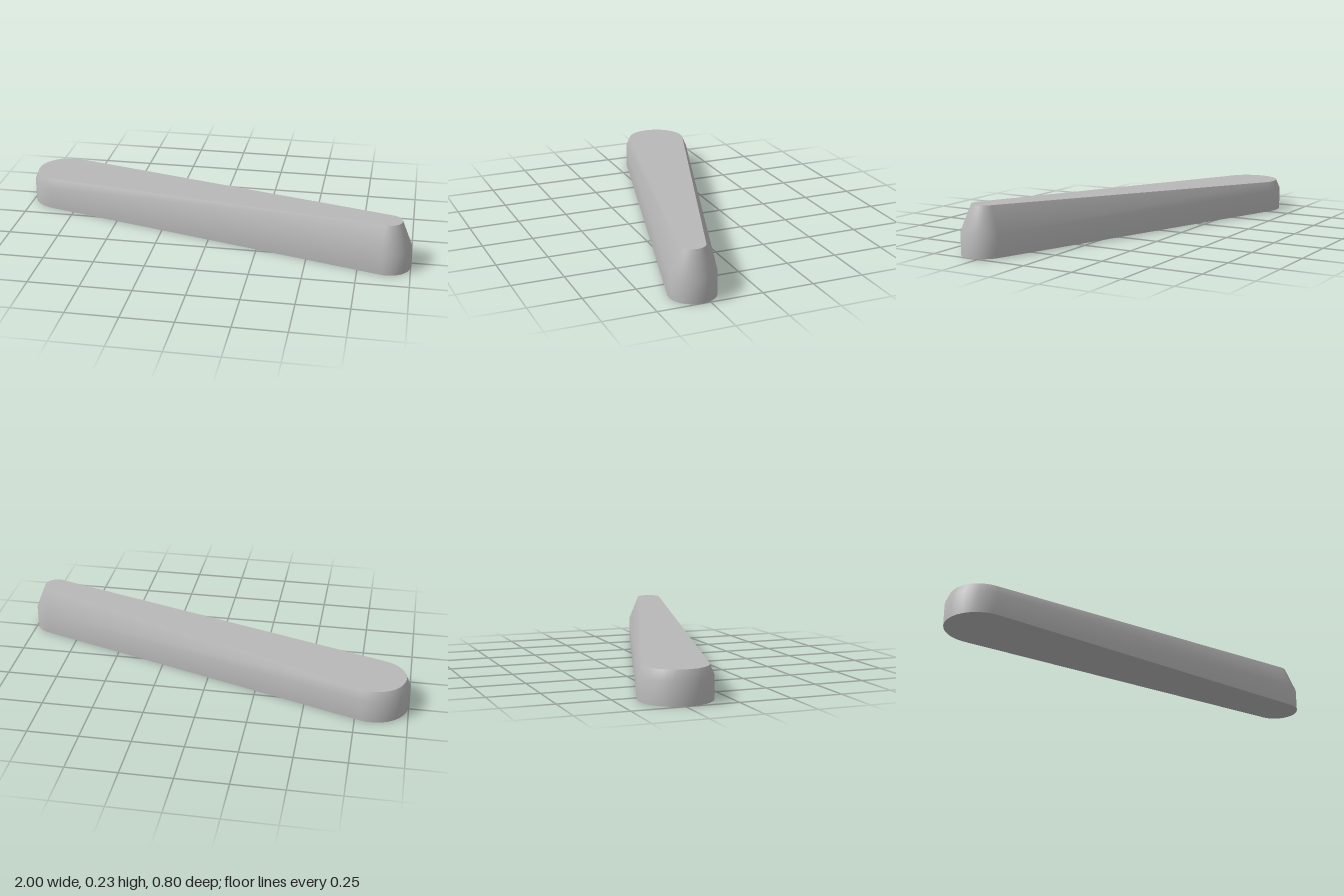
import * as THREE from 'three';
import { toCreasedNormals } from 'three/addons/utils/BufferGeometryUtils.js';

const BIG = { x: -0.83, z: -0.23 };
const SMALL = { x: 0.89, z: 0.29 };
const STEPS = 16;

// Outline around two circles joined by tangents, with a height for each end
function ring(bigR, smallR, bigY, smallY) {
  const dx = SMALL.x - BIG.x, dz = SMALL.z - BIG.z;
  const heading = Math.atan2(dz, dx);
  const spread = Math.acos((bigR - smallR) / Math.hypot(dx, dz));
  const points = [];
  const arc = (c, r, y, from, to) => {
    for (let i = 0; i <= STEPS; i++) {
      const a = from + (to - from) * i / STEPS;
      points.push(c.x + r * Math.cos(a), y, c.z + r * Math.sin(a));
    }
  };
  arc(BIG, bigR, bigY, heading + spread, heading + 2 * Math.PI - spread);
  arc(SMALL, smallR, smallY, heading - spread, heading + spread);
  return points;
}

export function createModel() {
  const grey = new THREE.MeshStandardMaterial({ color: 0xb8b8b8 });
  grey.name = 'grey';

  const rings = [
    ring(0.17, 0.11, 0, 0),
    ring(0.17, 0.11, 0.11, 0.11),
    ring(0.15, 0.06, 0.157, 0.235),
  ];
  const n = 2 * (STEPS + 1);
  const index = [];

  // Upright wall and sloping shoulder
  for (let r = 0; r < 2; r++) {
    for (let i = 0; i < n; i++) {
      const j = (i + 1) % n;
      const a = r * n + i, c = r * n + j;
      index.push(a, a + n, c, a + n, c + n, c);
    }
  }
  // Flat underside
  for (let i = 1; i < n - 1; i++) index.push(0, i, i + 1);
  // Level top at each end, with a ramp between
  const top = 2 * n, mid = top + STEPS + 1, last = top + n - 1;
  for (const s of [top, mid]) {
    for (let i = 1; i < STEPS; i++) index.push(s, s + i + 1, s + i);
  }
  index.push(top, mid, mid - 1, top, last, mid);

  const geometry = new THREE.BufferGeometry();
  geometry.setAttribute('position', new THREE.Float32BufferAttribute(rings.flat(), 3));
  geometry.setIndex(index);

  const bar = new THREE.Mesh(toCreasedNormals(geometry, 0.6), grey);
  bar.name = 'taperedBar';

  const group = new THREE.Group();
  group.name = 'taperedLever';
  group.add(bar);
  return group;
}
